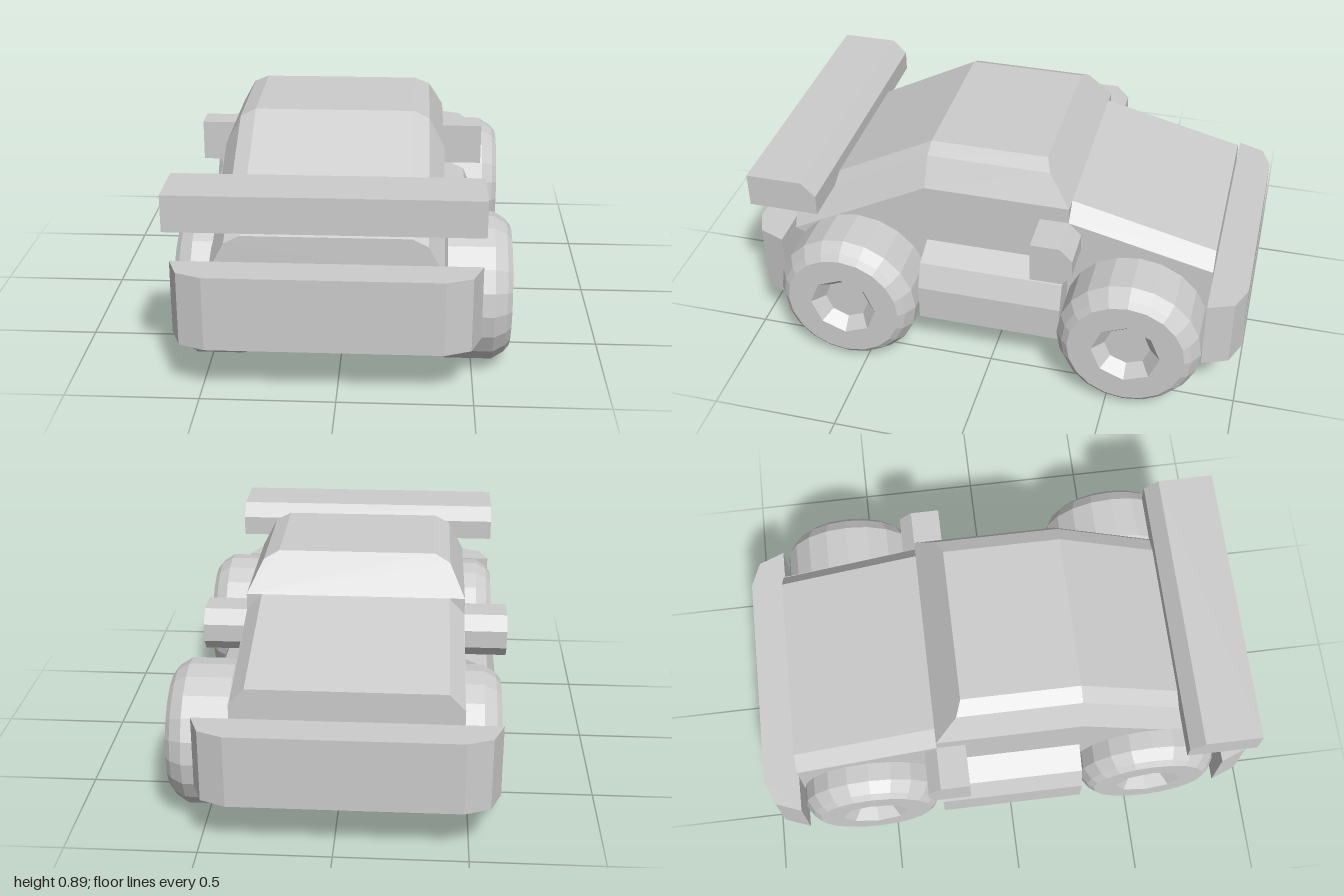
import * as THREE from 'three';
import { mergeGeometries } from 'three/addons/utils/BufferGeometryUtils.js';

const CX = -0.043; // centre line of the bodywork

// Prism along x from a [z, y] profile
function prismX(profile, x0, x1) {
  const shape = new THREE.Shape(profile.map(([z, y]) => new THREE.Vector2(-z, y)));
  return new THREE.ExtrudeGeometry(shape, { depth: x1 - x0, bevelEnabled: false })
    .rotateY(Math.PI / 2).translate(x0, 0, 0);
}

// Closed skin through rings of [x, y, z], each counter-clockwise from the front, front to back
function loft(rings) {
  const pos = [];
  const tri = (a, b, c) => pos.push(...a, ...b, ...c);
  const n = rings[0].length;
  for (let r = 0; r + 1 < rings.length; r++) {
    for (let i = 0; i < n; i++) {
      const j = (i + 1) % n;
      const [a, b, c, d] = [rings[r][i], rings[r][j], rings[r + 1][j], rings[r + 1][i]];
      tri(a, c, b);
      tri(a, d, c);
    }
  }
  const last = rings[rings.length - 1];
  for (let i = 1; i + 1 < n; i++) {
    tri(rings[0][0], rings[0][i], rings[0][i + 1]);
    tri(last[0], last[i + 1], last[i]);
  }
  const g = new THREE.BufferGeometry();
  g.setAttribute('position', new THREE.Float32BufferAttribute(pos, 3));
  g.computeVertexNormals();
  return g;
}

// Symmetric ring from [half width, y] points listed bottom to top
function ring(points, zAt) {
  const right = points.map(([x, y]) => [CX + x, y, zAt(y)]);
  const left = points.map(([x, y]) => [CX - x, y, zAt(y)]).reverse();
  return [...right, ...left];
}

// Wheel with its outer face towards +x
function wheelGeometry() {
  const v = (r, h) => new THREE.Vector2(r, h);
  const tyre = new THREE.LatheGeometry([
    v(0, -0.142), v(0.225, -0.142), v(0.284, -0.1), v(0.284, 0.075),
    v(0.255, 0.122), v(0.23, 0.142), v(0.2, 0.142),
  ], 20).rotateZ(-Math.PI / 2);
  const hub = new THREE.LatheGeometry([v(0.135, 0.142), v(0.09, 0.092), v(0, 0.092)], 8)
    .rotateZ(-Math.PI / 2);
  const polygon = (r, n) => Array.from({ length: n }, (_, i) =>
    v(r * Math.cos(i / n * Math.PI * 2), r * Math.sin(i / n * Math.PI * 2)));
  const face = new THREE.Shape(polygon(0.2, 20));
  face.holes.push(new THREE.Path(polygon(0.135, 8)));
  const disc = new THREE.ShapeGeometry(face).rotateY(Math.PI / 2).translate(0.142, 0, 0);
  return mergeGeometries([tyre, hub, disc]);
}

export function createModel() {
  const car = new THREE.Group();
  car.name = 'car';
  const grey = new THREE.MeshStandardMaterial({ color: 0xcccccc, flatShading: true });
  grey.name = 'plain grey';
  const add = (name, geometry) => {
    const mesh = new THREE.Mesh(geometry, grey);
    mesh.name = name;
    car.add(mesh);
    return mesh;
  };

  // Lower body with a rising underside at the tail
  add('lowerBody', prismX([
    [-0.857, 0.2], [0.289, 0.2], [0.857, 0.445], [0.29, 0.745],
    [-0.289, 0.745], [-0.289, 0.68], [-0.857, 0.545],
  ], CX - 0.43, CX + 0.43));

  // Cabin: bevelled roof, sloping tail and raked screen
  const cabin = (top) => [[0.43, top - 0.145], [0.37, top - 0.03], [0.31, top]];
  const screenZ = (y) => -0.177 - (0.89 - y) * 0.772;
  add('cabin', loft([
    ring(cabin(0.59), () => 0.857),
    ring(cabin(0.89), () => 0.29),
    ring(cabin(0.89), screenZ),
  ]));

  // Sloping deck with bevelled sides
  const deck = (top) => [[0.43, top - 0.065], [0.37, top]];
  add('deck', loft([
    ring(deck(0.745), () => -0.289),
    ring(deck(0.607), () => -0.857),
  ]));

  for (const s of [1, -1]) {
    // Bumpers at both ends, with cut corners
    const outline = [[-0.57, 0.857], [0.57, 0.857], [0.53, 0.96], [0.433, 1], [-0.433, 1], [-0.53, 0.96]];
    const bumper = new THREE.Shape(outline.map(([x, z]) => new THREE.Vector2(CX + x, -s * z)));
    add(s > 0 ? 'frontBumper' : 'backBumper',
      new THREE.ExtrudeGeometry(bumper, { depth: 0.285, bevelEnabled: false })
        .rotateX(-Math.PI / 2).translate(0, 0.202, 0));

    // Side sills
    const side = s > 0 ? 'left' : 'right';
    const section = [[0.4, 0.2], [0.57, 0.2], [0.57, 0.35], [0.53, 0.447], [0.43, 0.49], [0.4, 0.49]];
    const sill = new THREE.Shape(section.map(([x, y]) => new THREE.Vector2(CX + s * x, y)));
    add(side + 'Sill', new THREE.ExtrudeGeometry(sill, { depth: 0.578, bevelEnabled: false })
      .translate(0, 0, -0.289));

    // Door mirrors
    const inner = CX + s * 0.41, outer = CX + s * 0.598;
    add(side + 'Mirror', prismX([
      [-0.175, 0.513], [-0.175, 0.68], [-0.29, 0.68], [-0.34, 0.63], [-0.34, 0.56], [-0.3, 0.513],
    ], Math.min(inner, outer), Math.max(inner, outer)));
  }

  // Wing
  add('wing', prismX([
    [0.97, 0.647], [0.97, 0.785], [0.745, 0.785], [0.69, 0.73], [0.69, 0.647],
  ], CX - 0.57, CX + 0.57));

  // Wheels
  const wheel = wheelGeometry();
  for (const [end, z] of [['front', 0.573], ['back', -0.573]]) {
    add(end + 'LeftWheel', wheel).position.set(0.498, 0.286, z);
    const right = add(end + 'RightWheel', wheel);
    right.position.set(-0.47, 0.286, z);
    right.rotation.y = Math.PI;
  }
  return car;
}
